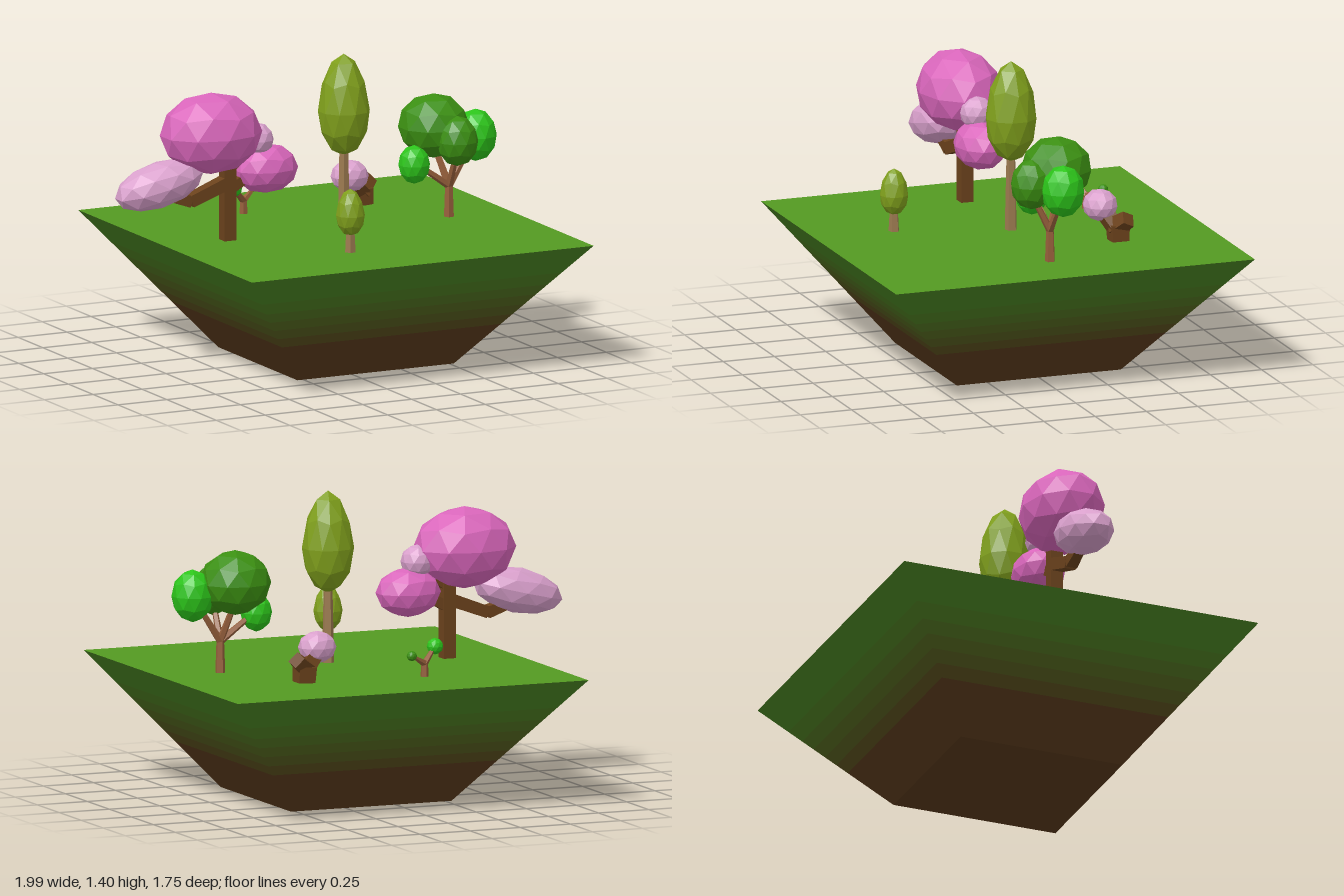
import * as THREE from 'three';

const DARK = 0x6b421c, TAN = 0x9c7a50, RED = 0x97603c;
const PINK = 0xd966bb, PALE = 0xd9a0cc, OLIVE = 0x80a01c, GREEN = 0x3b8f12, BRIGHT = 0x2cc41a;

const mat = (color) => new THREE.MeshStandardMaterial({ color, flatShading: true });

function add(parent, name, geometry, color) {
  const mesh = new THREE.Mesh(geometry, mat(color));
  mesh.name = name;
  parent.add(mesh);
  return mesh;
}

// Faceted leaf ball with a vertex at its pole; egg > 0 narrows the top and shortens the base
function crown(parent, color, pos, radii, { tilt = 0, egg = 0 } = {}) {
  const g = new THREE.IcosahedronGeometry(1, 1).rotateZ(-Math.atan(2 / (1 + Math.sqrt(5))));
  const p = g.attributes.position;
  for (let i = 0; i < p.count; i++) {
    const y = p.getY(i), s = 1 - egg * 0.6 * Math.max(y, 0);
    p.setXYZ(i, p.getX(i) * s, y < 0 ? y * (1 - egg) : y, p.getZ(i) * s);
  }
  g.scale(...radii).rotateZ(tilt).translate(...pos);
  g.computeVertexNormals();
  return add(parent, 'crown', g, color);
}

// Tapered limb through points [x, y, z, width]
function limb(parent, name, color, points, sides = 4) {
  for (let i = 0; i < points.length - 1; i++) {
    const a = new THREE.Vector3(...points[i]), b = new THREE.Vector3(...points[i + 1]);
    const k = sides === 4 ? Math.SQRT1_2 : 0.53;
    const g = new THREE.CylinderGeometry(points[i + 1][3] * k, points[i][3] * k, a.distanceTo(b), sides);
    g.rotateY(Math.PI / 4);
    const dir = b.clone().sub(a).normalize();
    g.applyQuaternion(new THREE.Quaternion().setFromUnitVectors(new THREE.Vector3(0, 1, 0), dir));
    g.translate(...a.add(b).multiplyScalar(0.5).toArray());
    add(parent, name, g, color);
  }
}

function group(parent, name) {
  const g = new THREE.Group();
  g.name = name;
  parent.add(g);
  return g;
}

// Inverted pyramid of earth, shading from soil up to grass
function island(root) {
  const g = group(root, 'island');
  g.position.x = 0.12;
  const H = 0.595, soil = new THREE.Color(0x58391b), grass = new THREE.Color(0x478020);
  const half = (y) => 0.4 + 0.475 * y / H;
  const levels = [0, 0.2, 0.25, 0.3, 0.35, 0.4, 0.46, H];
  for (let i = 0; i < levels.length - 1; i++) {
    const y0 = levels[i], y1 = levels[i + 1];
    const band = new THREE.CylinderGeometry(half(y1) * Math.SQRT2, half(y0) * Math.SQRT2, y1 - y0, 4, 1, true);
    band.rotateY(Math.PI / 4).translate(0, (y0 + y1) / 2, 0);
    add(g, 'earthBand', band, soil.clone().lerp(grass, i / (levels.length - 2)));
  }
  add(g, 'underside', new THREE.PlaneGeometry(0.8, 0.8).rotateX(Math.PI / 2), 0x58391b);
  add(g, 'grassTop', new THREE.PlaneGeometry(1.75, 1.75).rotateX(-Math.PI / 2).translate(0, H, 0), 0x549a22);
}

function blossomTree(root) {
  const g = group(root, 'blossomTree');
  limb(g, 'trunk', DARK, [[-0.435, 0.595, 0, 0.06], [-0.435, 0.98, 0, 0.06]]);
  limb(g, 'branch', DARK, [[-0.43, 0.87, 0, 0.06], [-0.63, 0.795, 0, 0.055], [-0.78, 0.84, 0, 0.04]]);
  limb(g, 'branch', DARK, [[-0.435, 0.83, 0, 0.05], [-0.27, 0.92, 0, 0.04]]);
  limb(g, 'branch', DARK, [[-0.435, 0.92, 0, 0.04], [-0.29, 1.03, 0, 0.03]]);
  crown(g, PINK, [-0.52, 1.1, 0], [0.245, 0.19, 0.19]);
  crown(g, PALE, [-0.785, 0.885, 0], [0.225, 0.105, 0.12], { tilt: 0.24 });
  crown(g, PINK, [-0.24, 0.91, 0], [0.155, 0.115, 0.12]);
  crown(g, PALE, [-0.285, 1.05, 0], [0.077, 0.077, 0.08]);
}

function cypress(root, name, x, z, y0, y1, radius, top, base, width) {
  const g = group(root, name);
  limb(g, 'trunk', TAN, [[x, y0, z, width], [x, y1 + 0.06, z, width * 0.7]], 5);
  const ry = (top - y1) / 1.8;
  crown(g, OLIVE, [x, top - ry, z], [radius, ry, radius], { egg: 0.2 });
}

function leafyTree(root) {
  const g = group(root, 'leafyTree');
  const fork = [0.693, 0.74, 0.01, 0.035];
  limb(g, 'trunk', RED, [[0.693, 0.595, 0.01, 0.045], fork], 5);
  const tips = [[0.52, 0.86, 0.02], [0.8, 0.9, 0], [0.64, 0.95, -0.06], [0.69, 0.9, 0.09]];
  for (const t of tips) limb(g, 'branch', RED, [fork, [...t, 0.024]], 5);
  crown(g, GREEN, [0.64, 1.015, -0.04], [0.165, 0.15, 0.165]);
  crown(g, GREEN, [0.69, 0.965, 0.1], [0.097, 0.117, 0.097]);
  crown(g, BRIGHT, [0.835, 0.96, 0], [0.097, 0.122, 0.1]);
  crown(g, BRIGHT, [0.505, 0.86, 0.03], [0.073, 0.09, 0.073]);
}

function blossomStump(root) {
  const g = group(root, 'blossomStump');
  limb(g, 'trunk', DARK, [[0.46, 0.595, -0.41, 0.08], [0.455, 0.67, -0.41, 0.085]]);
  limb(g, 'branch', DARK, [[0.465, 0.64, -0.41, 0.07], [0.38, 0.72, -0.365, 0.06]]);
  limb(g, 'branch', DARK, [[0.44, 0.65, -0.4, 0.075], [0.51, 0.705, -0.44, 0.06]]);
  crown(g, PALE, [0.37, 0.745, -0.355], [0.09, 0.075, 0.08]);
}

function sapling(root) {
  const g = group(root, 'sapling');
  const fork = [-0.115, 0.655, -0.47, 0.032];
  limb(g, 'trunk', RED, [[-0.115, 0.595, -0.47, 0.036], fork], 5);
  limb(g, 'branch', RED, [fork, [-0.18, 0.72, -0.432, 0.02]], 5);
  limb(g, 'branch', RED, [fork, [-0.035, 0.7, -0.517, 0.014]], 5);
  crown(g, BRIGHT, [-0.185, 0.725, -0.43], [0.038, 0.038, 0.038]);
  crown(g, GREEN, [-0.03, 0.702, -0.52], [0.024, 0.024, 0.024]);
}

export function createModel() {
  const root = new THREE.Group();
  root.name = 'floatingGarden';
  island(root);
  blossomTree(root);
  cypress(root, 'tallTree', 0.16, 0, 0.61, 0.93, 0.12, 1.405, 0, 0.055);
  cypress(root, 'smallTree', -0.055, 0.49, 0.595, 0.67, 0.067, 0.89, 0, 0.048);
  leafyTree(root);
  blossomStump(root);
  sapling(root);
  return root;
}
